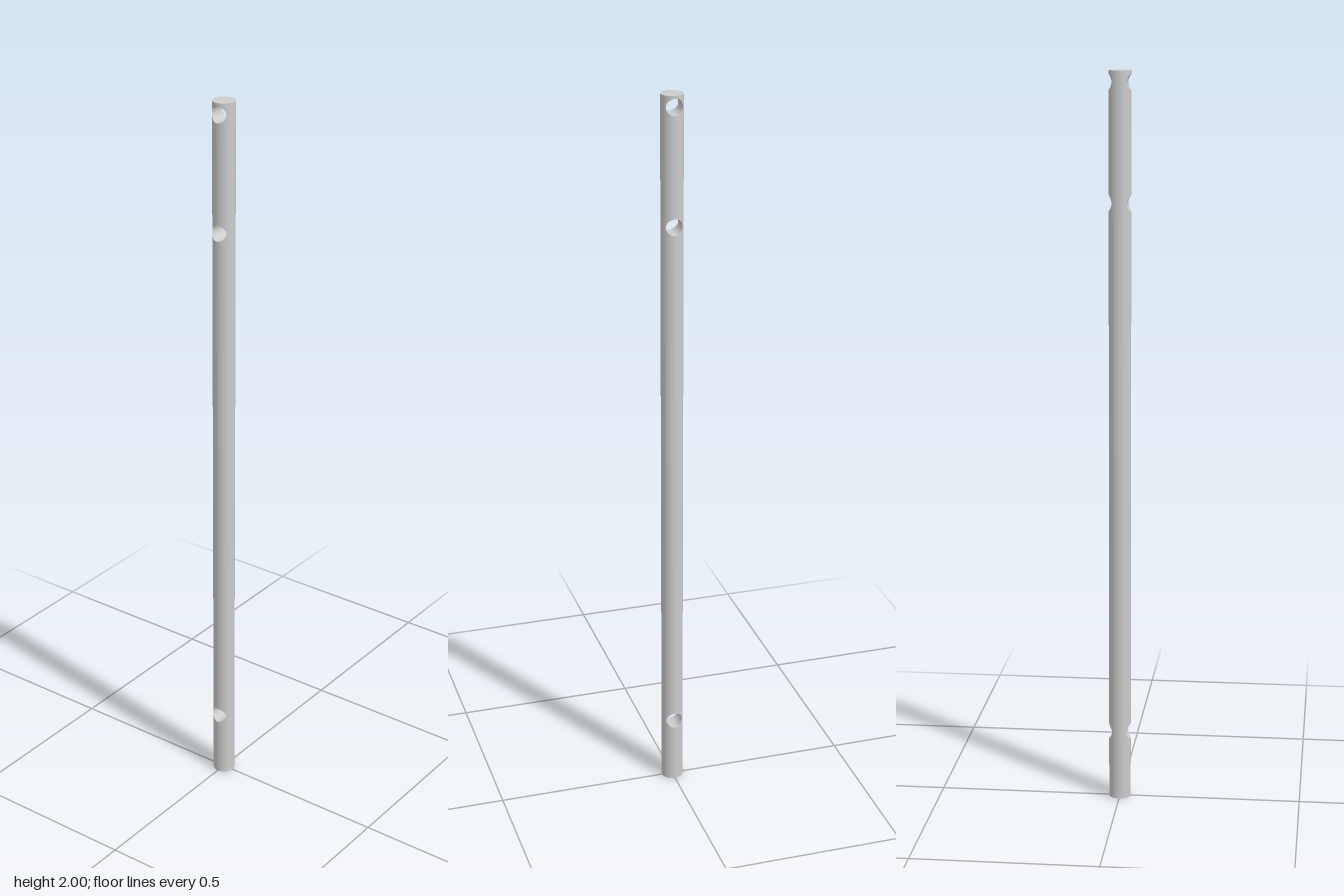
import * as THREE from 'three';

const R = 0.03;            // rod radius
const H = 0.0225;          // cross hole radius
const B = 0.03;            // half height of the band around each hole
const HOLES = [0.19, 1.655, 1.97];
const ACROSS = 24, UP = 8, RINGS = 6;
const AROUND = 2 * (ACROSS + UP);

const material = new THREE.MeshStandardMaterial({ color: 0xcccccc });

// Grid whose points and normals follow a rule of (column, v)
function ruledGrid(columns, rows, rule) {
  const geo = new THREE.PlaneGeometry(1, 1, columns, rows);
  const { position, normal, uv } = geo.attributes;
  for (let i = 0; i < position.count; i++) {
    const [p, n] = rule(Math.round(uv.getX(i) * columns), uv.getY(i));
    position.setXYZ(i, ...p);
    normal.setXYZ(i, ...n);
  }
  return geo;
}

// Counterclockwise walk around the square from -1 to 1
function perimeter(i) {
  const k = i % AROUND;
  if (k < ACROSS) return [-1 + (2 * k) / ACROSS, -1];
  if (k < ACROSS + UP) return [1, -1 + (2 * (k - ACROSS)) / UP];
  if (k < 2 * ACROSS + UP) return [1 - (2 * (k - ACROSS - UP)) / ACROSS, 1];
  return [-1, 1 - (2 * (k - 2 * ACROSS - UP)) / UP];
}

function holeAngle(i) {
  const [s, t] = perimeter(i);
  return Math.atan2(t, s);
}

// Half of the rod's skin around a hole, from the band's outline in to the rim
function halfBand() {
  return ruledGrid(AROUND, RINGS, (i, v) => {
    const [s, t] = perimeter(i);
    const a = holeAngle(i);
    const theta = THREE.MathUtils.lerp((s * Math.PI) / 2, Math.asin((H * Math.cos(a)) / R), v);
    const y = THREE.MathUtils.lerp(t * B, H * Math.sin(a), v);
    const c = Math.cos(theta), d = -Math.sin(theta);
    return [[R * c, y, R * d], [c, 0, d]];
  });
}

// Inner wall of a hole, trimmed to the rod's curve at both ends
function bore() {
  return ruledGrid(AROUND, 1, (i, v) => {
    const a = holeAngle(i), c = Math.cos(a), s = Math.sin(a);
    const reach = Math.sqrt(R * R - H * H * c * c);
    return [[(1 - 2 * v) * reach, H * s, -H * c], [0, -s, c]];
  });
}

export function createModel() {
  const model = new THREE.Group();
  model.name = 'drilledRod';
  const add = (name, geo, y) => {
    const mesh = new THREE.Mesh(geo, material);
    mesh.name = name;
    mesh.position.y = y;
    model.add(mesh);
    return mesh;
  };

  // Plain lengths of rod alternating with drilled bands
  const band = halfBand(), wall = bore();
  let bottom = 0;
  for (const y of HOLES) {
    const length = y - B - bottom;
    add('rodSection', new THREE.CylinderGeometry(R, R, length, 2 * ACROSS, 1, true), bottom + length / 2);
    add('leftHoleBand', band, y);
    add('rightHoleBand', band, y).rotation.y = Math.PI;
    add('holeWall', wall, y);
    bottom = y + B;
  }

  // Flat ends
  const disc = new THREE.CircleGeometry(R, 2 * ACROSS);
  add('topEnd', disc, bottom).rotation.x = -Math.PI / 2;
  add('bottomEnd', disc, 0).rotation.x = Math.PI / 2;
  return model;
}
